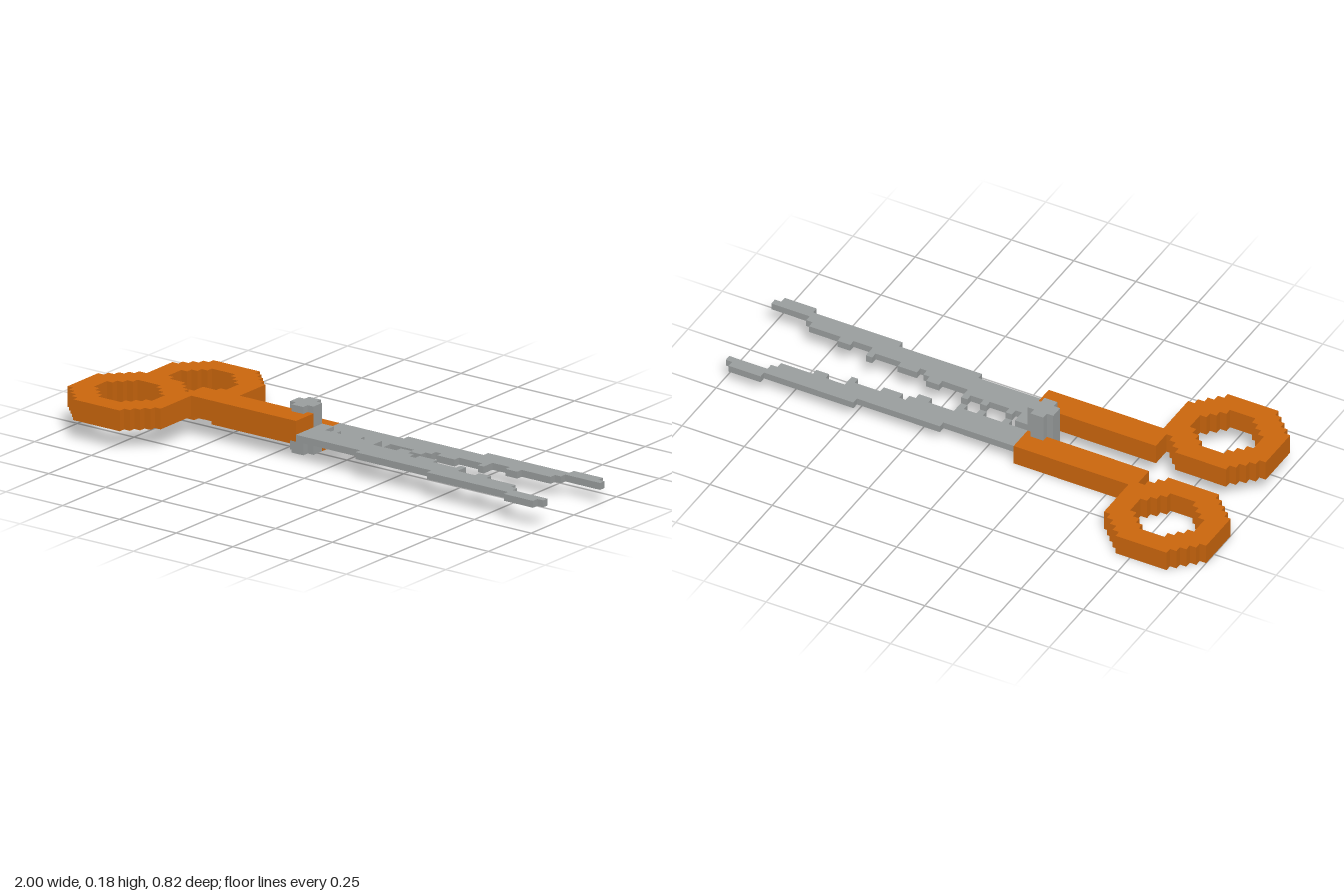
import * as THREE from 'three';

const U = 2 / 78; // one grid cell

const orange = new THREE.MeshStandardMaterial({ color: 0xcb660d });
orange.name = 'handleOrange';
const grey = new THREE.MeshStandardMaterial({ color: 0x9a9e9e });
grey.name = 'bladeGrey';

// Stepped octagon outline: half flats a (x) and b (z), with n unit steps per corner
function steppedOctagon(cx, cz, a, b, n) {
  const quarter = [];
  for (let i = 0; i <= n; i++) {
    quarter.push([a + n - i, b + i]);
    if (i < n) quarter.push([a + n - i - 1, b + i]);
  }
  const flip = [...quarter].reverse();
  return [
    ...quarter,
    ...flip.map(([x, z]) => [-x, z]),
    ...quarter.map(([x, z]) => [-x, -z]),
    ...flip.map(([x, z]) => [x, -z]),
  ].map(([x, z]) => new THREE.Vector2((cx + x) * U, (cz + z) * U));
}

const toPoints = (list) => list.map(([x, z]) => new THREE.Vector2(x * U, z * U));

// Flat plate lying in the xz plane from y0 to y1 (in cells)
function plate(name, outline, y0, y1, material, hole) {
  const shape = new THREE.Shape(outline);
  if (hole) shape.holes.push(new THREE.Path(hole));
  const geo = new THREE.ExtrudeGeometry(shape, { depth: (y1 - y0) * U, bevelEnabled: false });
  geo.rotateX(Math.PI / 2).translate(0, y1 * U, 0);
  const mesh = new THREE.Mesh(geo, material);
  mesh.name = name;
  return mesh;
}

// Cutting edge: [start x, z of edge]; outer edge: the same, ending at the tip
const INNER = [[-5, -1], [-3, 1], [-2, 0], [-1, 1], [2, 0], [3, 1], [5, 0], [6, 2], [10, 1],
  [12, 2], [13, 3], [14, 2], [17, 3], [21, 2], [22, 4], [25, 3], [27, 4], [32, 5], [33, 6]];
const OUTER = [[-5, 5], [6, 6], [19, 7], [33, 8], [38, 7]];

function staircase(steps, end) {
  return steps.flatMap(([x, z], i) => [[x, z], [i + 1 < steps.length ? steps[i + 1][0] : end, z]]);
}

function makeHalf(name) {
  const half = new THREE.Group();
  half.name = name;
  half.add(
    plate('fingerRing', steppedOctagon(-31, 8.5, 4, 3.5, 4), 0, 3, orange,
      steppedOctagon(-31, 8.5, 2, 1.5, 3)),
    // arm, notched around the pivot
    plate('handleArm', toPoints([[-24, 1], [-8, 1], [-8, 2], [-6, 2], [-6, 1], [-5, 1], [-5, 5], [-24, 5]]),
      0, 3, orange),
    plate('blade', toPoints([...staircase(INNER, 39), ...staircase(OUTER, 39).reverse()]), 0, 1, grey),
  );
  half.position.y = 3 * U;
  return half;
}

export function createModel() {
  const model = new THREE.Group();
  model.name = 'scissors';

  const upper = makeHalf('upperHalf');
  const lower = makeHalf('lowerHalf');
  lower.rotation.x = Math.PI; // same part turned over
  model.add(upper, lower);

  // pivot pin with notched corners
  model.add(plate('pivotPin', steppedOctagon(-7, 0, 1, 1, 1), 0, 7, grey));
  return model;
}
